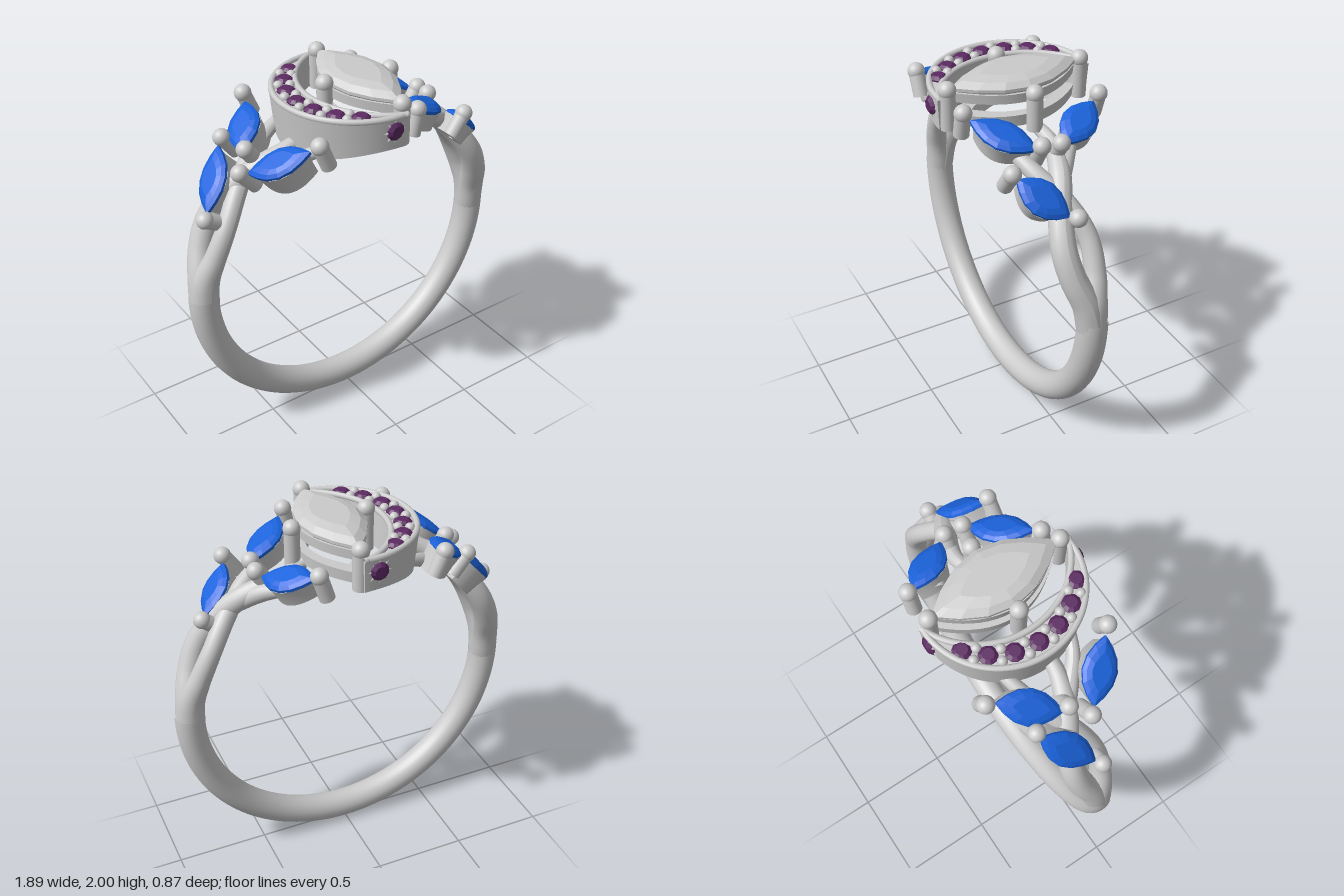
import * as THREE from 'three';
import { toCreasedNormals } from 'three/addons/utils/BufferGeometryUtils.js';

const CY = 0.95; // height of the finger axis
const BORE = 0.79; // finger radius
const rad = THREE.MathUtils.degToRad;
const V = (x, y, z) => new THREE.Vector3(x, y, z);

const metal = new THREE.MeshStandardMaterial({ color: 0xcccccc });
const clear = new THREE.MeshStandardMaterial({ color: 0xcccccc, flatShading: true });
const blue = new THREE.MeshStandardMaterial({ color: 0x1b63dc, flatShading: true });
const purple = new THREE.MeshStandardMaterial({ color: 0x5c2a62, flatShading: true });

function add(parent, name, geo, mat, pos) {
  const m = new THREE.Mesh(geo, mat);
  m.name = name;
  if (pos) m.position.copy(pos);
  parent.add(m);
  return m;
}

// Turned profile whose round outline is squeezed into a pointed marquise (L, W = half sizes)
function marquise(profile, L, W, sides) {
  const geo = new THREE.LatheGeometry(profile.map(p => new THREE.Vector2(p[0], p[1])), sides);
  const p = geo.attributes.position;
  for (let i = 0; i < p.count; i++) {
    const x = p.getX(i), z = p.getZ(i), r = Math.hypot(x, z);
    const s = r > 1e-6 ? z / r : 0, c = r > 1e-6 ? x / r : 0;
    p.setXYZ(i, L * r * s, p.getY(i), W * r * -c * Math.abs(c));
  }
  geo.computeVertexNormals();
  return geo;
}

const gemProfile = (depth, crown) =>
  [[0.001, -depth], [0.55, -depth * 0.6], [1, -0.008], [1, 0.008], [0.82, crown * 0.7], [0.55, crown], [0.001, crown]];

// Frame standing on the band at (x, z), its y axis pointing away from the finger
function onBand(parent, name, x, z, r) {
  const g = new THREE.Group();
  const a = Math.asin(x / r);
  g.name = name;
  g.position.set(x, CY + r * Math.cos(a), z);
  g.rotation.z = -a;
  parent.add(g);
  return g;
}

// Round claw with a ball tip; origin at the ball
function prong(parent, length, r = 0.04) {
  add(parent, 'prongTip', new THREE.SphereGeometry(r * 1.12, 20, 14), metal);
  add(parent, 'prongShaft', new THREE.CylinderGeometry(r, r, length, 20), metal, V(0, -length / 2, 0));
}

// Tapering strand on the band; stations are [angle, z, radius], turn is 1 or -1
function strand(parent, name, stations, turn) {
  const pts = stations.map(([a, z, r]) => {
    const R = BORE + r;
    return V(turn * R * Math.cos(rad(a)), CY + R * Math.sin(rad(a)), turn * z);
  });
  const curve = new THREE.CatmullRomCurve3(pts, false, 'centripetal');
  const n = 60, sides = 18;
  const geo = new THREE.TubeGeometry(curve, n, 1, sides);
  const p = geo.attributes.position, v = V();
  for (let i = 0; i < p.count; i++) {
    const u = Math.floor(i / (sides + 1)) / n;
    const t = curve.getUtoTmapping(u) * (stations.length - 1);
    const k = Math.min(Math.floor(t), stations.length - 2);
    const r = THREE.MathUtils.lerp(stations[k][2], stations[k + 1][2], t - k);
    const c = curve.getPointAt(u);
    v.fromBufferAttribute(p, i).sub(c).multiplyScalar(r).add(c);
    p.setXYZ(i, v.x, v.y, v.z);
  }
  geo.computeVertexNormals();
  add(parent, name, geo, metal);
}

// Marquise side stone in its cup, given by its two tips in plan
function sideStone(parent, x1, z1, x2, z2, r) {
  const x = (x1 + x2) / 2, z = (z1 + z2) / 2;
  const g = onBand(parent, 'sideStone', x, z, r);
  const dx = (x2 - x1) / Math.cos(g.rotation.z), dz = z2 - z1;
  const turned = new THREE.Group();
  turned.name = 'stoneAndCup';
  turned.rotation.y = Math.atan2(-dz, dx);
  g.add(turned);
  const L = Math.hypot(dx, dz) / 2, h = r - BORE - 0.005;
  add(turned, 'gem', marquise(gemProfile(0.06, 0.03), L, 0.09, 16), blue);
  const cup = [[0.3, -h], [0.8, -h], [0.85, -h * 0.5], [0.95, -0.006], [0.8, -0.006], [0.3, -h * 0.7], [0.3, -h]];
  add(turned, 'cup', toCreasedNormals(marquise(cup, L, 0.095, 40), 0.6), metal);
}

function buildBand(ring) {
  const shank = add(ring, 'shank', new THREE.TorusGeometry(0.868, 0.078, 24, 90, rad(184)), metal, V(0, CY, 0));
  shank.rotation.z = rad(178);
  for (const turn of [1, -1]) {
    strand(ring, 'outerStrand',
      [[-2, 0, 0.077], [8, 0.03, 0.072], [18, 0.085, 0.066], [28, 0.105, 0.064], [40, 0.07, 0.06], [52, 0, 0.055], [64, -0.04, 0.04], [74, -0.02, 0.03]], turn);
    strand(ring, 'innerStrand',
      [[-2, 0, 0.077], [8, -0.01, 0.07], [18, -0.04, 0.055], [30, -0.04, 0.05], [42, 0.02, 0.05], [54, 0.11, 0.045], [66, 0.17, 0.035], [74, 0.2, 0.03]], turn);
    strand(ring, 'branch', [[46, 0.04, 0.045], [56, -0.06, 0.045], [64, -0.15, 0.035], [72, -0.2, 0.03]], turn);
  }
}

function buildShoulders(ring) {
  const stones = [
    [0.55, 0.25, 0.72, 0.06, 0.9], [0.22, 0.32, 0.46, 0.09, 0.9], [0.29, -0.32, 0.46, -0.06, 0.9],
    [-0.8, -0.01, -0.61, -0.21, 0.93], [-0.57, -0.05, -0.39, -0.31, 0.93], [-0.62, 0.09, -0.4, 0.3, 0.93],
  ];
  stones.forEach(s => sideStone(ring, ...s));
  const claws = [
    [-0.38, -0.355], [-0.59, -0.215], [-0.65, 0.06], [-0.37, 0.33], [-0.83, 0.015], [-0.57, -0.02],
    [0.19, 0.34], [0.28, -0.355], [0.48, -0.03], [0.47, 0.07], [0.55, 0.27], [0.75, 0.03],
  ];
  for (const [x, z] of claws) prong(onBand(ring, 'prong', x, z, x < 0 ? 0.96 : 0.935), 0.13);
}

function buildCrescent(ring) {
  const g = new THREE.Group();
  g.name = 'crescent';
  ring.add(g);
  const top = 1.9, bottom = 1.72;
  const shape = new THREE.Shape();
  shape.absarc(0.05, 0, 0.42, rad(86), rad(274), false);
  shape.absarc(0.23, 0, 0.43, rad(249.6), rad(110.4), true);
  const seats = [-3, -2, -1, 0, 1, 2, 3].map(i => rad(180 + i * 17.7));
  const at = (a, r, y) => V(0.11 + r * Math.cos(a), y, r * Math.sin(a));
  for (const a of seats) {
    const c = at(a, 0.395, 0);
    shape.holes.push(new THREE.Path().absarc(c.x, c.z, 0.024, 0, Math.PI * 2, true));
  }
  const geo = new THREE.ExtrudeGeometry(shape, { depth: top - bottom, bevelEnabled: false, curveSegments: 36 });
  geo.rotateX(-Math.PI / 2).translate(0, bottom, 0);
  // Underside follows the finger and draws in slightly
  const p = geo.attributes.position;
  for (let i = 0; i < p.count; i++) {
    if (p.getY(i) > bottom + 0.01) continue;
    const x = p.getX(i) * 0.93;
    p.setXYZ(i, x, CY + Math.sqrt(BORE * BORE - x * x), p.getZ(i) * 0.98);
  }
  add(g, 'crescentBody', toCreasedNormals(geo, 0.6), metal);

  // Raised rims
  for (const [cx, r, a0, a1] of [[0.05, 0.407, 86, 274], [0.23, 0.442, 111, 249]]) {
    const pts = [];
    for (let i = 0; i <= 16; i++) {
      const a = rad(a0 + (a1 - a0) * i / 16);
      pts.push(V(cx + r * Math.cos(a), top + 0.004, r * Math.sin(a)));
    }
    add(g, 'rim', new THREE.TubeGeometry(new THREE.CatmullRomCurve3(pts), 60, 0.016, 10), metal);
  }

  // Small round stones with pairs of beads between them
  const round = new THREE.LatheGeometry(
    [[0, -0.045], [0.048, 0], [0.048, 0.006], [0.03, 0.02], [0, 0.02]].map(q => new THREE.Vector2(q[0], q[1])), 10);
  seats.forEach((a, i) => {
    add(g, 'smallGem', round, purple, at(a, 0.395, top + 0.004));
    if (i === 6) return;
    for (const off of [-0.03, 0.03])
      add(g, 'bead', new THREE.SphereGeometry(0.026, 14, 10), metal, at(a + rad(8.85), 0.395 + off, top + 0.005));
  });

  // Stone on the outside of each horn, held by small pointed grains
  for (const s of [1, -1]) {
    const tip = new THREE.Group();
    tip.name = 'hornStone';
    tip.position.set(0, 1.84, s * 0.415);
    tip.rotation.x = s * Math.PI / 2;
    g.add(tip);
    add(tip, 'smallGem', round, purple);
    for (let k = 0; k < 8; k++) {
      const a = k * Math.PI / 4;
      const spike = add(tip, 'grain', new THREE.ConeGeometry(0.008, 0.03, 6), metal, V(0.052 * Math.cos(a), 0, 0.052 * Math.sin(a)));
      spike.quaternion.setFromUnitVectors(V(0, 1, 0), V(Math.cos(a), 0, Math.sin(a)));
    }
  }
}

function buildCentre(ring) {
  const g = new THREE.Group();
  g.name = 'centreStone';
  g.position.set(0.075, 0, 0);
  g.rotation.y = Math.PI / 2;
  ring.add(g);
  add(g, 'gem', marquise(gemProfile(0.13, 0.045), 0.345, 0.168, 16), clear, V(0, 1.94, 0));
  // Lower base plate and upper gallery rail
  const base = [[0.6, 0], [0.97, 0], [1, 0.06], [0.7, 0.06], [0.6, 0]];
  add(g, 'basketBase', toCreasedNormals(marquise(base, 0.34, 0.165, 48), 0.6), metal, V(0, 1.745, 0));
  const rail = [[0.82, 0], [0.96, 0], [0.98, 0.05], [0.84, 0.05], [0.82, 0]];
  add(g, 'basketRail', toCreasedNormals(marquise(rail, 0.345, 0.168, 48), 0.6), metal, V(0, 1.87, 0));
  for (const [x, y, z] of [[0.075, 1.94, 0.365], [0.075, 1.94, -0.365], [-0.122, 1.955, 0], [0.275, 1.925, 0]]) {
    const claw = new THREE.Group();
    claw.name = 'centreProng';
    claw.position.set(x, y, z);
    ring.add(claw);
    prong(claw, y - 1.735);
  }
}

export function createModel() {
  const ring = new THREE.Group();
  ring.name = 'ring';
  buildBand(ring);
  buildShoulders(ring);
  buildCrescent(ring);
  buildCentre(ring);
  return ring;
}
